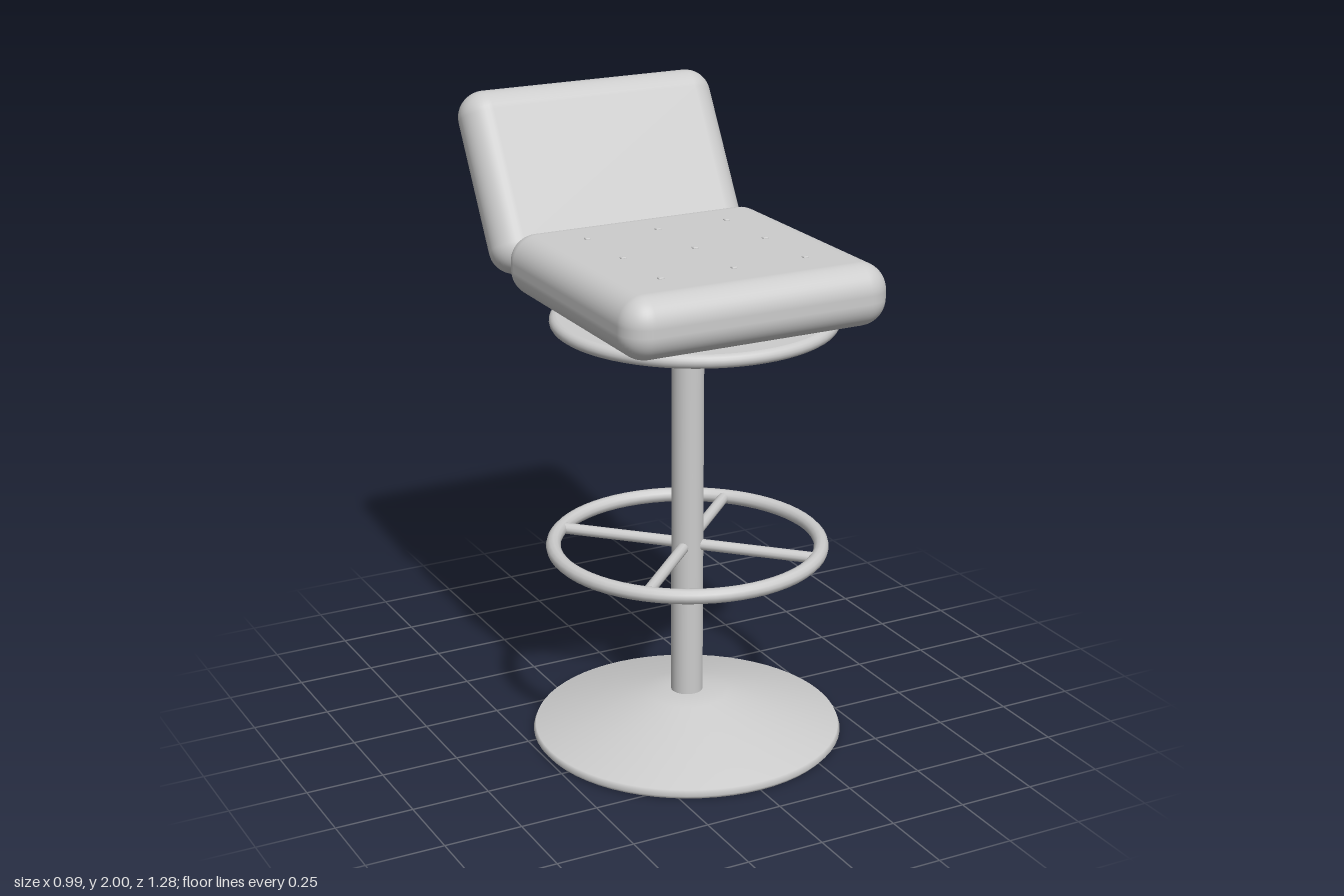
import * as THREE from 'three';
import { RoundedBoxGeometry } from 'three/addons/geometries/RoundedBoxGeometry.js';

export function createModel() {
  const group = new THREE.Group();
  const grey = new THREE.MeshStandardMaterial({ color: 0xcccccc });
  grey.name = 'light grey';

  const add = (name, geometry, x, y, z, parent = group) => {
    const mesh = new THREE.Mesh(geometry, grey);
    mesh.name = name;
    mesh.position.set(x, y, z);
    parent.add(mesh);
    return mesh;
  };
  const lathe = (points) =>
    new THREE.LatheGeometry(points.map(([r, y]) => new THREE.Vector2(r, y)), 64);

  const poleZ = 0.145;
  const seatZ = 0.188;

  // Domed floor base with a flat underside
  add('base', lathe([[0.487, 0], [0.497, 0.012], [0.49, 0.03], [0.135, 0.137], [0.05, 0.142], [0, 0.142]]), 0, 0, poleZ);
  add('baseUnderside', new THREE.CircleGeometry(0.487, 64).rotateX(Math.PI / 2), 0, 0, poleZ);

  // Central pole
  add('pole', new THREE.CylinderGeometry(0.051, 0.051, 1.26, 32), 0, 0.76, poleZ);

  // Foot ring with two diagonal bars crossing the pole
  const footRest = new THREE.Group();
  footRest.name = 'footRest';
  footRest.position.set(0, 0.648, poleZ);
  group.add(footRest);
  add('footRing', new THREE.TorusGeometry(0.424, 0.0235, 12, 64).rotateX(Math.PI / 2), 0, 0, 0, footRest);
  for (const angle of [Math.PI / 4, -Math.PI / 4]) {
    const bar = new THREE.CylinderGeometry(0.018, 0.018, 0.83, 12).rotateZ(Math.PI / 2).rotateY(angle);
    add('footBar', bar, 0, 0, 0, footRest);
  }

  // Round plate with a rounded rim under the seat
  const rim = [];
  for (let i = 0; i <= 8; i++) {
    const a = -Math.PI / 2 + (Math.PI * i) / 8;
    rim.push([0.424 + 0.021 * Math.cos(a), 1.404 + 0.021 * Math.sin(a)]);
  }
  add('seatPlateRim', lathe(rim), 0, 0, seatZ);
  for (const side of [1, -1]) {
    const face = new THREE.CircleGeometry(0.424, 64).rotateX(-side * Math.PI / 2);
    add('seatPlateFace', face, 0, 1.404 + side * 0.021, seatZ);
  }

  // Cushions
  add('seat', new RoundedBoxGeometry(0.884, 0.195, 0.884, 6, 0.085), 0, 1.528, seatZ);
  const back = add('backrest', new RoundedBoxGeometry(0.884, 0.598, 0.172, 6, 0.083), 0, 1.73, -0.448);
  back.rotation.x = -Math.PI / 6;

  // Tufting buttons running through the seat
  for (const x of [-0.243, 0, 0.243]) {
    for (const dz of [-0.243, 0, 0.243]) {
      add('seatButton', new RoundedBoxGeometry(0.018, 0.204, 0.018, 2, 0.004), x, 1.528, seatZ + dz);
    }
  }
  return group;
}
